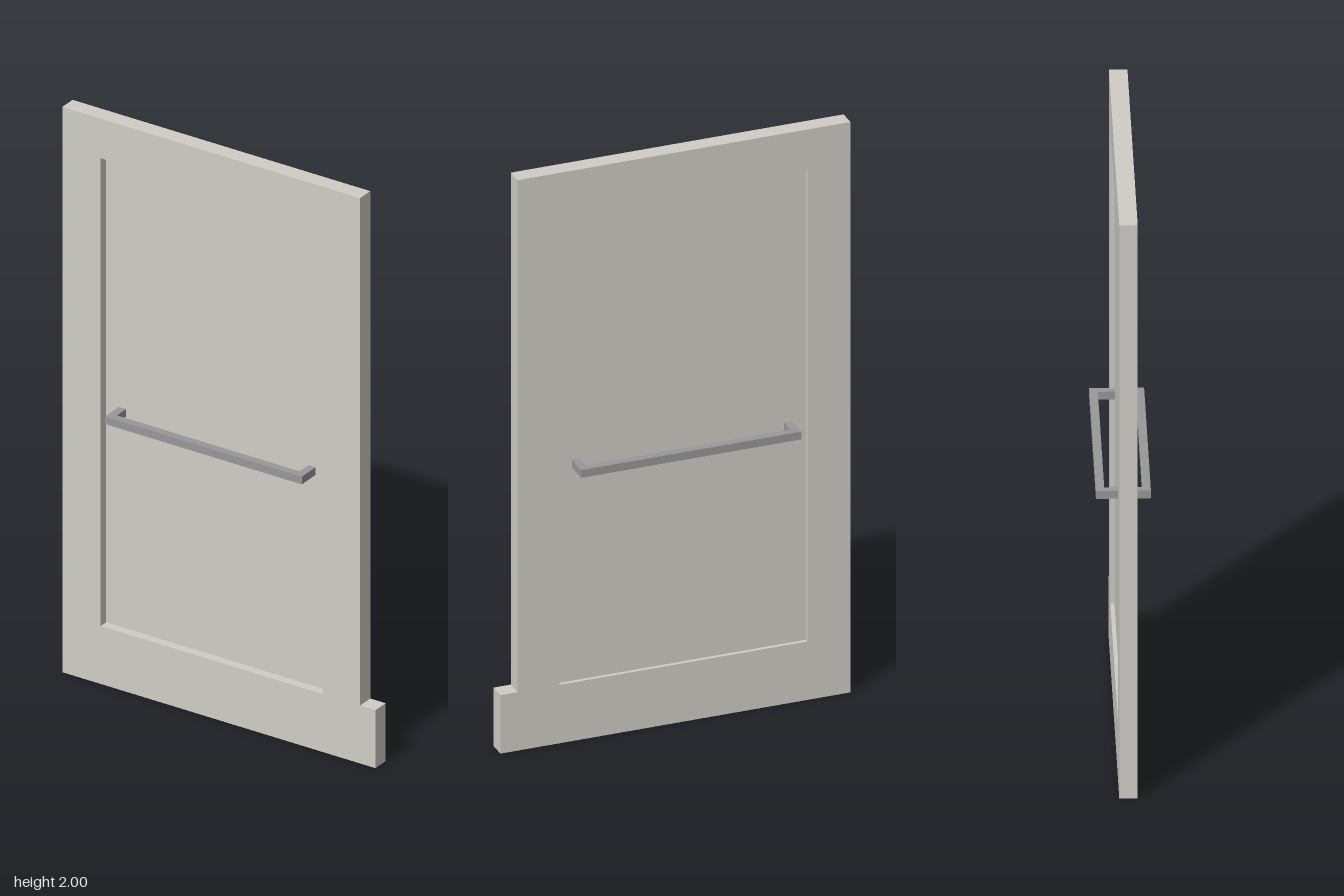
import * as THREE from 'three';

export function createModel() {
  const doorPaint = new THREE.MeshStandardMaterial({ name: 'warm grey paint', color: 0xcfcdc5 });
  const metal = new THREE.MeshStandardMaterial({ name: 'grey metal', color: 0x98989a });

  const HALF = 0.591, THICK = 0.058;          // half width of the leaf and its thickness
  const Z0 = -0.446, Z1 = 0.392;              // opening along the leaf
  const Y0 = 0.205, Y1 = 1.86;                // opening height

  // the leaf stands slightly ajar: local z runs along it, local x through it
  const door = new THREE.Group();
  door.name = 'door';
  door.rotation.y = 0.1235;
  door.position.x = -0.009;

  const addBox = (parent, name, material, size, position) => {
    const mesh = new THREE.Mesh(new THREE.BoxGeometry(...size), material);
    mesh.name = name;
    mesh.position.set(...position);
    parent.add(mesh);
  };

  // frame with a foot that projects at the front edge, and a panel opening
  const outline = new THREE.Shape([
    [-HALF, 0], [HALF, 0], [HALF, Y0], [0.533, Y0], [0.533, 2], [-HALF, 2],
  ].map(([a, b]) => new THREE.Vector2(a, b)));
  outline.holes.push(new THREE.Path([
    [Z0, Y0], [Z0, Y1], [Z1, Y1], [Z1, Y0],
  ].map(([a, b]) => new THREE.Vector2(a, b))));
  const frameGeometry = new THREE.ExtrudeGeometry(outline, { depth: THICK, bevelEnabled: false });
  frameGeometry.translate(0, 0, -THICK / 2).rotateY(-Math.PI / 2);
  const frame = new THREE.Mesh(frameGeometry, doorPaint);
  frame.name = 'doorFrame';
  door.add(frame);

  // recessed panel, nearer to the +x face
  const panelX = 0.009, midZ = (Z0 + Z1) / 2;
  addBox(door, 'panel', doorPaint, [0.014, Y1 - Y0, Z1 - Z0], [panelX, (Y0 + Y1) / 2, midZ]);

  // a pull bar on each face, with a standoff at each end
  const BAR = 0.027, REACH = 0.0865, LENGTH = 0.743;
  for (const side of [-1, 1]) {
    const handle = new THREE.Group();
    handle.name = side > 0 ? 'leftHandle' : 'rightHandle';
    handle.position.set(panelX + 0.0015, 0.967, midZ);
    addBox(handle, 'bar', metal, [BAR, BAR, LENGTH], [side * (REACH - BAR / 2), 0, 0]);
    for (const end of [-1, 1]) {
      addBox(handle, 'standoff', metal, [REACH - BAR, BAR, BAR],
        [side * (REACH - BAR) / 2, 0, end * (LENGTH - BAR) / 2]);
    }
    door.add(handle);
  }

  const model = new THREE.Group();
  model.name = 'doorModel';
  model.add(door);
  return model;
}
